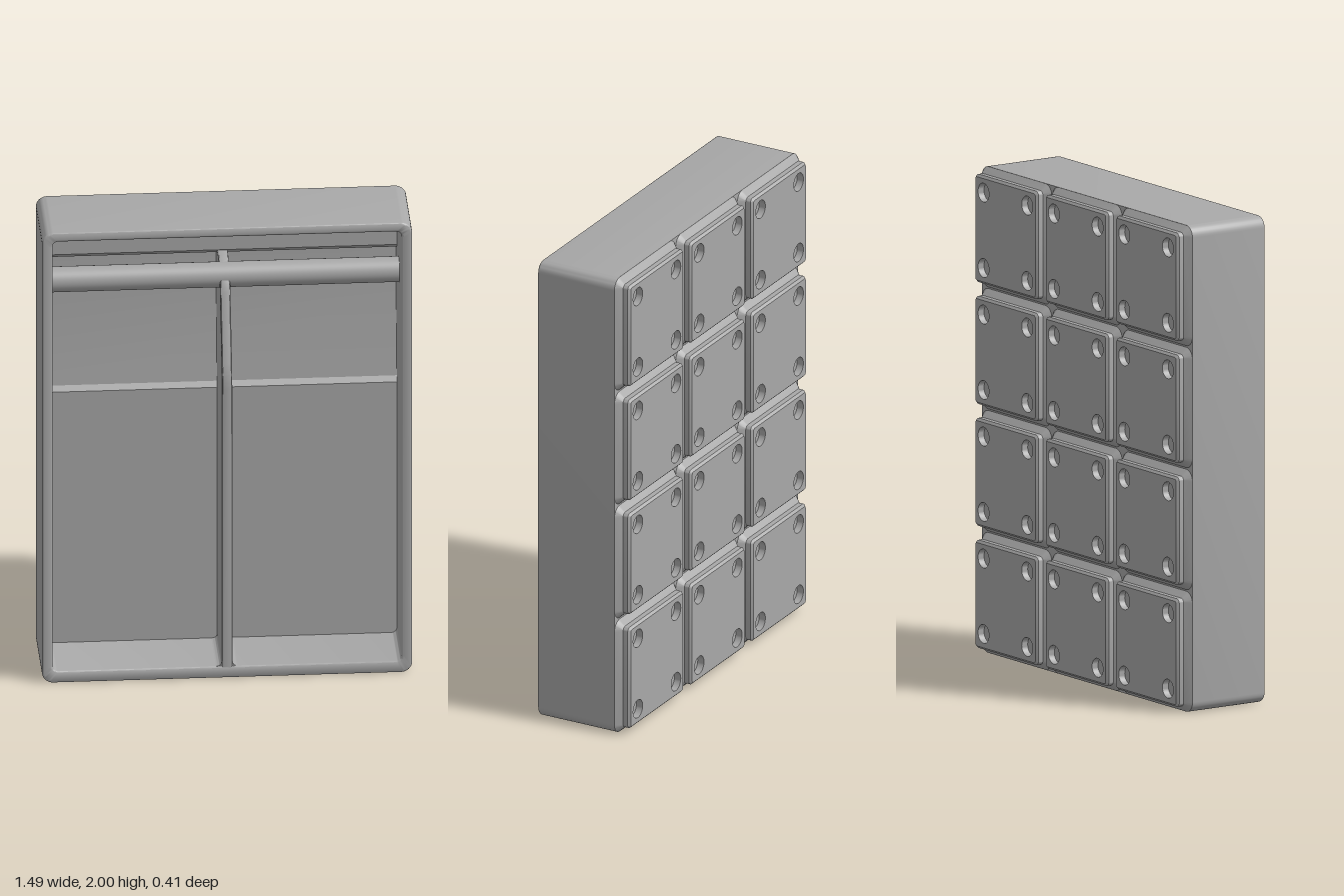
import * as THREE from 'three';
import { toCreasedNormals } from 'three/addons/utils/BufferGeometryUtils.js';

const PITCH = 0.5015; // spacing of the square feet
const BACK = -0.2065, FRONT = 0.2065, BASE = -0.15;

// Corner points of a rounded rectangle, counter-clockwise seen from +z
function ringPoints(hw, hh, r, cy = 0, steps = 8) {
  const pts = [];
  [[1, 1], [-1, 1], [-1, -1], [1, -1]].forEach(([sx, sy], q) => {
    for (let i = 0; i <= steps; i++) {
      const a = (q + i / steps) * Math.PI / 2;
      pts.push(new THREE.Vector2(sx * (hw - r) + r * Math.cos(a), cy + sy * (hh - r) + r * Math.sin(a)));
    }
  });
  return pts;
}

// Skin through rounded rectangles given as [halfWidth, halfHeight, radius, z, centreY]
function loft(sections) {
  const pos = [], index = [];
  let n = 0;
  sections.forEach(([hw, hh, r, z, cy]) => {
    const pts = ringPoints(hw, hh, r, cy);
    n = pts.length;
    pts.forEach((p) => pos.push(p.x, p.y, z));
  });
  for (let s = 0; s < sections.length - 1; s++) {
    for (let i = 0; i < n; i++) {
      const a = s * n + i, b = s * n + (i + 1) % n;
      index.push(a, b, b + n, a, b + n, a + n);
    }
  }
  const g = new THREE.BufferGeometry();
  g.setAttribute('position', new THREE.Float32BufferAttribute(pos, 3));
  g.setIndex(index);
  return toCreasedNormals(g, 0.6);
}

// Extrude a side profile (drawn with x = -z, y = y) across the width
function extrudeAcross(shape, width, bevel = 0) {
  const depth = width - 2 * bevel;
  const g = new THREE.ExtrudeGeometry(shape, {
    depth, curveSegments: 16, bevelEnabled: bevel > 0,
    bevelSize: bevel, bevelThickness: bevel, bevelOffset: -bevel, bevelSegments: 3,
  });
  g.translate(0, 0, -depth / 2).rotateY(Math.PI / 2);
  return toCreasedNormals(g, 0.5);
}

export function createModel() {
  const group = new THREE.Group();
  const grey = new THREE.MeshStandardMaterial({ color: 0xa8a8a8, side: THREE.DoubleSide });
  grey.name = 'grey';
  const add = (name, geometry, parent = group) => {
    const mesh = new THREE.Mesh(geometry, grey);
    mesh.name = name;
    parent.add(mesh);
    return mesh;
  };

  // Hollow body: closed back, outer wall, rounded rim, inner wall
  const f = 0.009;
  const sections = [[0, 0, 0, BASE, 1], [0.747, 1, 0.045, BASE, 1]];
  for (let i = 0; i <= 4; i++) {
    const a = i / 4 * Math.PI / 2, d = f * (1 - Math.cos(a));
    sections.push([0.747 - d, 1 - d, 0.045 - d, FRONT - f + f * Math.sin(a), 1]);
  }
  for (let i = 4; i >= 0; i--) {
    const a = i / 4 * Math.PI / 2, d = f * (1 - Math.cos(a));
    sections.push([0.705 + d, 0.956 + d, 0.024 + d, FRONT - f + f * Math.sin(a), 1.006]);
  }
  sections.push([0.705, 0.956, 0.024, BASE + 0.005, 1.006]);
  add('body', loft(sections));

  // Stepped floor with a sloping finger recess below the top ledge
  const floor = new THREE.Shape([
    [-0.145, 0.03], [-0.068, 0.03], [-0.068, 1.165], [-0.084, 1.187], [-0.122, 1.52],
    [-0.122, 1.76], [-0.084, 1.76], [-0.068, 1.777], [-0.068, 1.975], [-0.145, 1.975],
  ].map(([z, y]) => new THREE.Vector2(-z, y)));
  add('floor', extrudeAcross(floor, 1.43));

  // Central divider with a front edge that sweeps back at the top
  const side = new THREE.Shape();
  side.moveTo(0.14, 0.02);
  side.lineTo(-0.2055, 0.02);
  side.lineTo(-0.2055, 1.28);
  side.quadraticCurveTo(-0.2055, 1.34, -0.19, 1.39);
  side.lineTo(-0.105, 1.655);
  side.quadraticCurveTo(-0.07, 1.775, 0.03, 1.775);
  side.lineTo(0.14, 1.775);
  add('divider', extrudeAcross(side, 0.042, 0.008));

  // Small fillets where the divider meets the bottom wall
  for (const s of [-1, 1]) {
    const r = 0.024, corner = new THREE.Shape();
    corner.moveTo(s * 0.018, 0.047);
    corner.lineTo(s * (0.021 + r), 0.05);
    corner.quadraticCurveTo(s * 0.021, 0.05, s * 0.021, 0.05 + r);
    const g = new THREE.ExtrudeGeometry(corner, { depth: FRONT - 0.007 + 0.08, bevelEnabled: false });
    add('dividerFillet', toCreasedNormals(g.translate(0, 0, -0.08), 0.6));
  }

  // Round bar across both compartments
  const bar = add('crossBar', new THREE.CylinderGeometry(0.052, 0.052, 1.42, 40));
  bar.rotation.z = Math.PI / 2;
  bar.position.set(0, 1.714, 0.03);

  // Grid of stepped square feet on the back, each with four round sockets
  const footSides = loft([
    [0.2125, 0.2125, 0.0096, BACK], [0.222, 0.222, 0.019, BACK + 0.0096],
    [0.222, 0.222, 0.019, BACK + 0.031], [0.2475, 0.2475, 0.0445, BASE],
  ]);
  const plate = new THREE.Shape(ringPoints(0.2125, 0.2125, 0.0096));
  const sockets = [-1, 1].flatMap((x) => [-1, 1].map((y) => [x * 0.155, y * 0.155]));
  for (const [x, y] of sockets) {
    plate.holes.push(new THREE.Path().absarc(x, y, 0.0388, 0, Math.PI * 2, true));
  }
  const footPlate = new THREE.ShapeGeometry(plate, 16).rotateY(Math.PI);
  const socket = toCreasedNormals(new THREE.LatheGeometry(
    [[0.0388, 0], [0.0388, 0.029], [0, 0.029]].map(([r, h]) => new THREE.Vector2(r, h)), 32,
  ).rotateX(Math.PI / 2), 0.6);
  for (let col = -1; col <= 1; col++) {
    for (let row = 0; row < 4; row++) {
      const foot = new THREE.Group();
      foot.name = 'foot';
      foot.position.set(col * 0.4995, 1 + (row - 1.5) * PITCH, 0);
      group.add(foot);
      add('footSides', footSides, foot);
      add('footPlate', footPlate, foot).position.z = BACK;
      for (const [x, y] of sockets) add('socket', socket, foot).position.set(x, y, BACK);
    }
  }
  return group;
}
